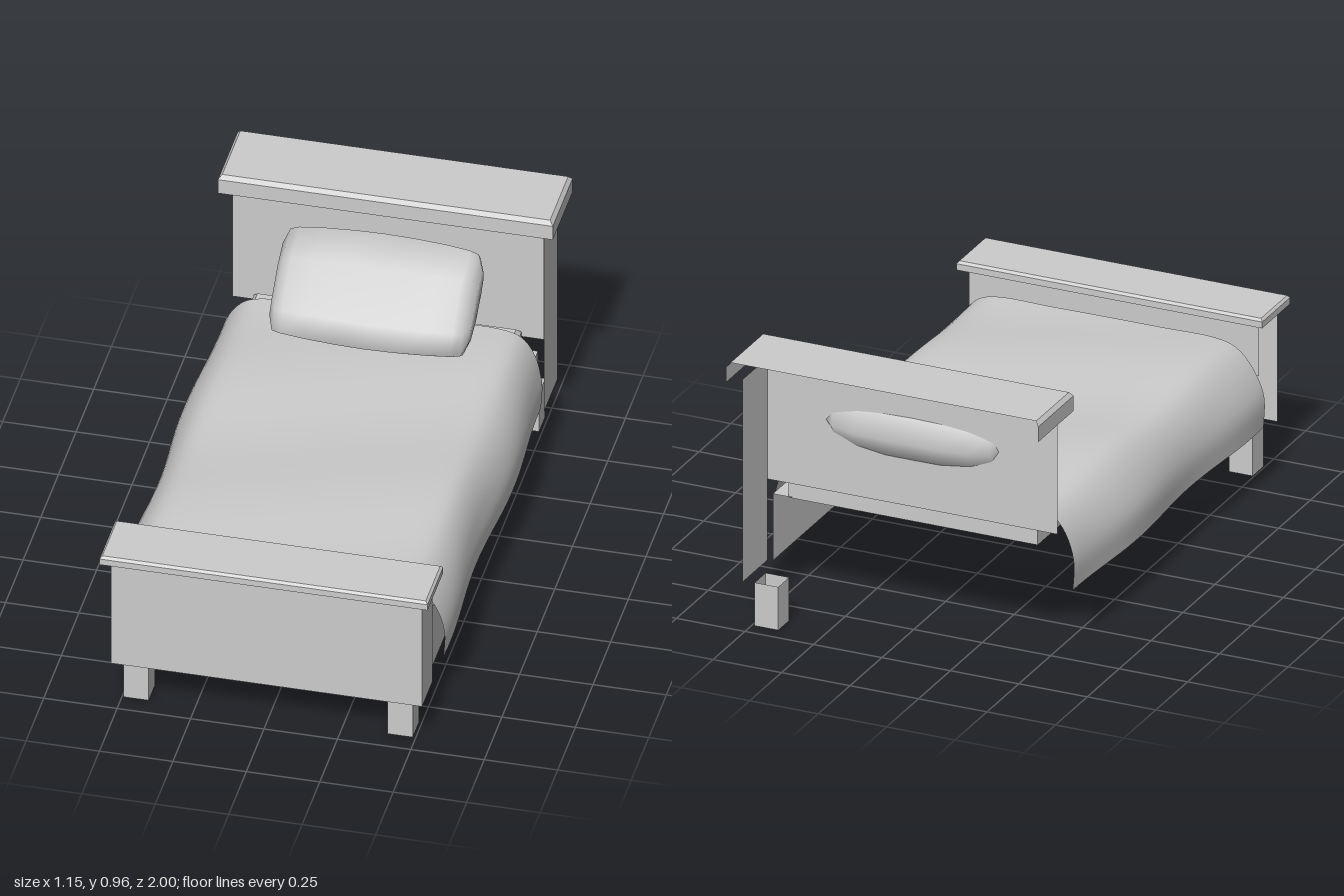
import * as THREE from 'three';

const grey = new THREE.MeshStandardMaterial({ color: 0xcccccc, side: THREE.DoubleSide });
const FACES = ['+x', '-x', '+y', '-y', '+z', '-z'];

// Box given by its limits, keeping only the listed faces; inset narrows the top
function shell(faces, [x0, x1], [y0, y1], [z0, z1], inset = 0) {
  const g = new THREE.BoxGeometry(x1 - x0, y1 - y0, z1 - z0);
  const index = [...g.index.array];
  g.setIndex(FACES.flatMap((f, i) => (faces.includes(f) ? index.slice(i * 6, i * 6 + 6) : [])));
  const p = g.attributes.position;
  for (let i = 0; i < p.count; i++) {
    if (p.getY(i) < 0) continue;
    p.setX(i, p.getX(i) - Math.sign(p.getX(i)) * inset);
    p.setZ(i, p.getZ(i) - Math.sign(p.getZ(i)) * inset);
  }
  g.translate((x0 + x1) / 2, (y0 + y1) / 2, (z0 + z1) / 2);
  if (inset) g.computeVertexNormals();
  return g;
}

function add(parent, name, geometry) {
  const mesh = new THREE.Mesh(geometry, grey);
  mesh.name = name;
  parent.add(mesh);
}

// Joins equal rings of points into a smooth surface
function loft(rings, closed) {
  const n = rings[0].length, index = [];
  for (let i = 0; i < rings.length - 1; i++) {
    for (let j = 0; j < (closed ? n : n - 1); j++) {
      const a = i * n + j, b = i * n + (j + 1) % n;
      index.push(a, b, a + n, b, b + n, a + n);
    }
  }
  const g = new THREE.BufferGeometry();
  g.setAttribute('position', new THREE.Float32BufferAttribute(rings.flat(2), 3));
  g.setIndex(index);
  g.computeVertexNormals();
  return g;
}

// Sheet draped over the mattress, with gentle waves
function blanketGeometry() {
  const half = [[0.555, 0.223], [0.558, 0.33], [0.525, 0.43], [0.47, 0.495], [0.40, 0.517], [0.2, 0.522]];
  const section = [...half, [0, 0.524], ...half.map(([x, y]) => [-x, y]).reverse()];
  const curve = new THREE.CatmullRomCurve3(section.map(([x, y]) => new THREE.Vector3(x, y, 0)));
  const points = curve.getPoints(48);
  const rings = [];
  for (let i = 0; i <= 30; i++) {
    const z = -0.69 + (1.457 * i) / 30;
    rings.push(points.map(({ x, y }) => {
      const drop = THREE.MathUtils.clamp((0.5 - y) / 0.15, 0, 1);
      const side = Math.sign(x) * 0.010 * Math.cos(7 * (z + 0.22)) * drop;
      const top = 0.008 * Math.sin(8 * z - 1.6 + 3 * x) * (1 - drop);
      return [x + side - 0.008 * drop, y + top, z];
    }));
  }
  return loft(rings, false);
}

// Plump cushion: one outline in z and y, thinned and shortened towards both ends
function pillowGeometry() {
  const outline = [[-0.41, 0.565], [-0.445, 0.64], [-0.58, 0.78], [-0.72, 0.82], [-0.765, 0.765],
    [-0.80, 0.69], [-0.755, 0.61], [-0.62, 0.52], [-0.475, 0.518]];
  const cz = -0.6, cy = 0.67, uz = -0.766, uy = 0.643;
  const half = [[0, 1, 1], [0.1, 0.99, 1], [0.21, 0.96, 0.95], [0.29, 0.92, 0.83], [0.32, 0.88, 0.62],
    [0.34, 0.62, 0.28], [0.341, 0, 0]];
  const stations = [...half.slice(1).map(([x, l, t]) => [-x, l, t]).reverse(), ...half];
  return loft(stations.map(([x, length, thick]) => outline.map(([z, y]) => {
    const u = ((z - cz) * uz + (y - cy) * uy) * length;
    const v = ((z - cz) * uy - (y - cy) * uz) * thick;
    return [x, cy + u * uy - v * uz, cz + u * uz + v * uy];
  })).reverse(), true);
}

export function createModel() {
  const bed = new THREE.Group();
  bed.name = 'bed';

  // Headboard, open at the back
  const head = new THREE.Group();
  head.name = 'headboard';
  add(head, 'headSide', shell(['+x'], [-0.53, 0.53], [0.155, 0.89], [-0.955, -0.76]));
  add(head, 'headPanel', shell(['+z'], [-0.53, 0.53], [0.45, 0.89], [-0.955, -0.76]));
  const headX = [-0.57, 0.57], headZ = [-1, -0.72];
  add(head, 'headCap', shell(['+x', '-x', '+z'], headX, [0.89, 0.945], headZ));
  add(head, 'headCapTop', shell(['+x', '-x', '+y', '+z'], headX, [0.945, 0.96], headZ, 0.012));
  bed.add(head);

  // Footboard, open below
  const foot = new THREE.Group();
  foot.name = 'footboard';
  add(foot, 'footFront', shell(['+x', '+z'], [-0.53, 0.53], [0.155, 0.575], [0.82, 0.965]));
  add(foot, 'footBack', shell(['-z'], [-0.53, 0.53], [0.38, 0.575], [0.82, 0.965]));
  const footX = [-0.56, 0.557], footZ = [0.78, 1];
  add(foot, 'footCap', shell(['+x', '-x', '+z', '-z'], footX, [0.575, 0.598], footZ));
  add(foot, 'footCapTop', shell(['+x', '-x', '+y', '+z', '-z'], footX, [0.598, 0.607], footZ, 0.008));
  bed.add(foot);

  // Hollow square legs
  for (const [x, z] of [[0.447, 0.888], [-0.452, 0.888], [0.447, -0.902]]) {
    add(bed, 'leg', shell(['+x', '-x', '+z', '-z'],
      [x - 0.043, x + 0.043], [0, 0.157], [z - 0.043, z + 0.043]));
  }

  // Side rail and mattress
  add(bed, 'sideRail', shell(['+x', '+y'], [0.44, 0.51], [0.157, 0.40], [-0.76, 0.82]));
  const matX = [-0.455, 0.455], matZ = [-0.755, 0.808];
  add(bed, 'mattress', shell(['+x', '-x', '+z', '-z'], matX, [0.395, 0.472], matZ));
  add(bed, 'mattressTop', shell(['+x', '-x', '+y', '+z', '-z'], matX, [0.472, 0.49], matZ, 0.015));

  // Bedding
  add(bed, 'blanket', blanketGeometry());
  add(bed, 'pillow', pillowGeometry());
  return bed;
}
